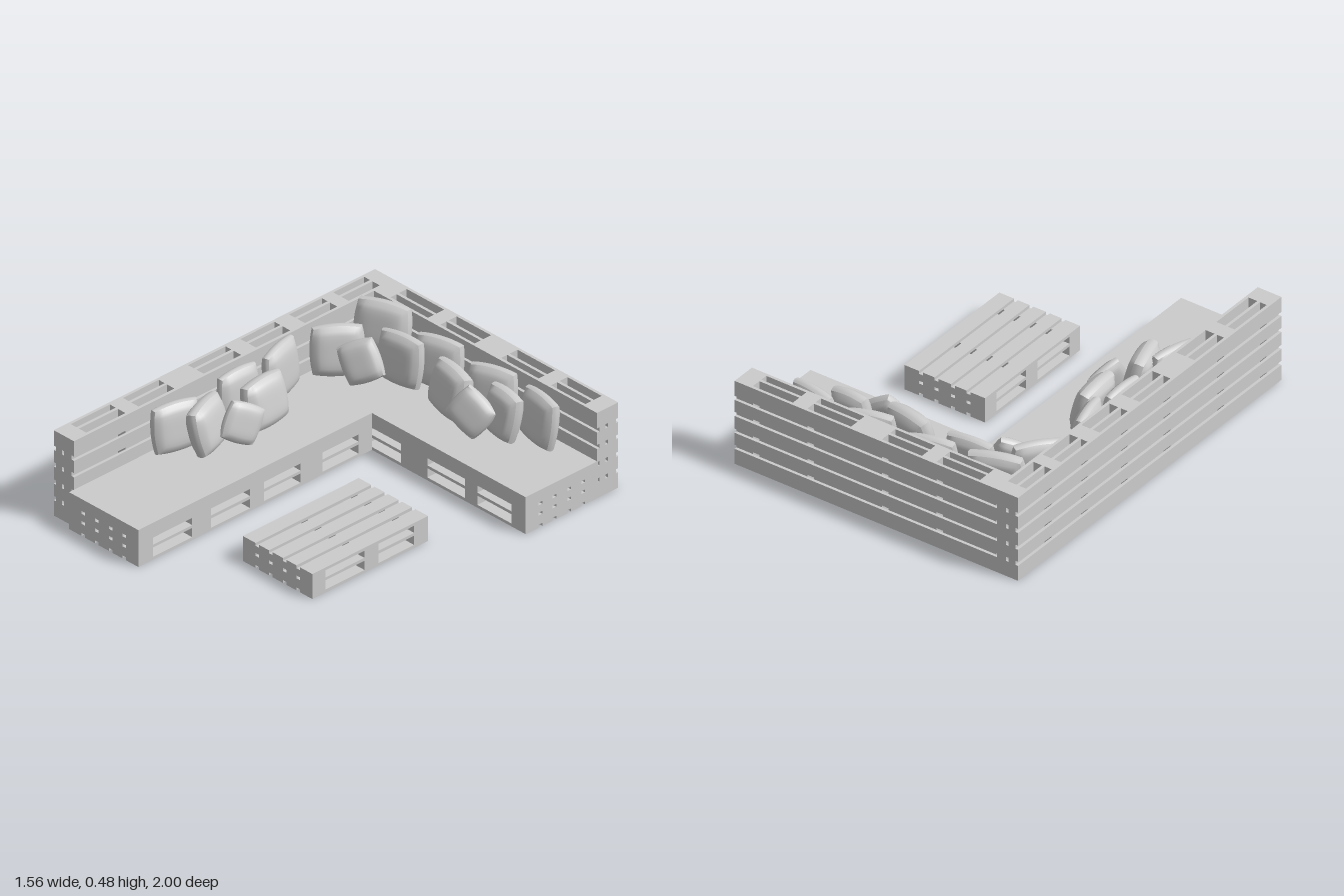
import * as THREE from 'three';

const material = new THREE.MeshStandardMaterial({ color: 0xcccccc });
const DEPTH = 0.444, HEIGHT = 0.13;
const SLATS = [[0, 0.08], [0.102, 0.166], [0.188, 0.256], [0.278, 0.342], [0.364, 0.444]];
const DECKS = [[0, 0.015], [0.063, 0.078], [0.115, 0.13]];

function box(parent, name, [x0, x1], [y0, y1], [z0, z1]) {
  const mesh = new THREE.Mesh(new THREE.BoxGeometry(x1 - x0, y1 - y0, z1 - z0), material);
  mesh.name = name;
  mesh.position.set((x0 + x1) / 2, (y0 + y1) / 2, (z0 + z1) / 2);
  parent.add(mesh);
}

// Row of pallets along local x: three slatted decks with cross blocks between the openings
function palletRow(name, from, to, openings) {
  const g = new THREE.Group();
  g.name = name;
  g.rotation.order = 'YXZ';
  const across = ([a, b]) => [a - DEPTH / 2, b - DEPTH / 2];
  const up = ([a, b]) => [a - HEIGHT / 2, b - HEIGHT / 2];
  for (const deck of DECKS)
    for (const slat of SLATS) box(g, 'slat', [from, to], up(deck), across(slat));
  const edges = [from, ...openings.flat(), to];
  for (let i = 0; i < edges.length; i += 2)
    for (let k = 0; k < 2; k++)
      box(g, 'crossBlock', [edges[i], edges[i + 1]], up([DECKS[k][1], DECKS[k + 1][0]]), across([0, DEPTH]));
  return g;
}

// Puffed square pillow: thick in the middle, thinner at the rim, gently bowed sides
function pillowGeometry(w, h, t) {
  const geo = new THREE.BoxGeometry(2, 2, 2, 12, 12, 4);
  const p = geo.attributes.position;
  for (let i = 0; i < p.count; i++) {
    const u = p.getX(i), v = p.getY(i), s = p.getZ(i);
    const puff = 0.42 + 0.58 * Math.pow((1 - u ** 4) * (1 - v ** 4), 0.6);
    const rim = 1 - 0.05 * s * s;
    p.setXYZ(i,
      u * (1 - 0.1 * v * v) * rim * w / 2,
      v * (1 - 0.1 * u * u) * rim * h / 2,
      s * puff * t / 2);
  }
  geo.computeVertexNormals();
  return geo;
}

// x, y, z, width, height, thickness, turn, lean, roll (degrees)
const PILLOWS = [
  [-0.51, 0.355, -0.79, 0.28, 0.25, 0.10, 20, -14, 0],
  [-0.17, 0.312, -0.81, 0.25, 0.25, 0.09, 15, -10, 0],
  [-0.31, 0.310, -0.71, 0.25, 0.25, 0.09, 6, -8, 1],
  [0.17, 0.312, -0.81, 0.25, 0.25, 0.09, 18, -10, 0],
  [0.48, 0.312, -0.805, 0.25, 0.25, 0.09, -10, -8, 0],
  [0.03, 0.307, -0.69, 0.26, 0.24, 0.11, -12, -14, -1],
  [0.33, 0.307, -0.725, 0.21, 0.24, 0.10, -5, -10, -4],
  [0.22, 0.300, -0.635, 0.20, 0.19, 0.08, 22, -18, -35],
  [-0.56, 0.310, -0.56, 0.25, 0.25, 0.09, 52, -10, 0],
  [-0.43, 0.298, -0.58, 0.19, 0.20, 0.08, 30, -16, 25],
  [-0.60, 0.322, -0.25, 0.25, 0.26, 0.085, 105, -6, 2],
  [-0.60, 0.310, 0.01, 0.24, 0.25, 0.08, 90, -6, 0],
  [-0.475, 0.307, -0.03, 0.26, 0.24, 0.11, 95, -14, 0],
  [-0.42, 0.298, 0.16, 0.19, 0.19, 0.07, 74, -12, -28],
  [-0.505, 0.307, 0.29, 0.25, 0.24, 0.11, 108, -14, 2],
  [-0.595, 0.307, 0.40, 0.25, 0.24, 0.085, 77, -8, 0],
];

export function createModel() {
  const model = new THREE.Group();
  const quarter = Math.PI / 2;
  const place = (row, x, y, z, turn, tilt) => {
    row.position.set(x, y, z);
    row.rotation.set(tilt, turn, 0);
    model.add(row);
  };

  // Seat bases
  const backOpenings = [[-0.56, -0.32], [-0.24, -0.02], [0.15, 0.39], [0.47, 0.69]];
  const sideOpenings = [[-0.35, -0.13], [0.005, 0.23], [0.315, 0.555], [0.67, 0.91]];
  place(palletRow('backSeatBase', -0.648, 0.78, backOpenings), 0, HEIGHT / 2, -0.654, 0, 0);
  place(palletRow('sideSeatBase', -0.432, 1, sideOpenings), -0.428, HEIGHT / 2, 0, -quarter, 0);

  // Upright backrests
  const uprightOpenings = [[-0.92, -0.73], [-0.66, -0.46], [-0.37, -0.16], [-0.07, 0.16], [0.34, 0.56], [0.64, 0.88]];
  place(palletRow('backRest', -0.65, 0.78, backOpenings), 0, DEPTH / 2, -0.935, 0, quarter);
  place(palletRow('sideRest', -1, 0.97, uprightOpenings), -0.715, DEPTH / 2, 0, -quarter, quarter);

  // Low table
  place(palletRow('table', -0.08, 0.63, [[0.005, 0.225], [0.31, 0.55]]), 0.3, HEIGHT / 2, 0, -quarter, 0);

  // Seat cushions
  box(model, 'backSeatCushion', [-0.65, 0.78], [0.13, 0.192], [-0.876, -0.432]);
  box(model, 'sideSeatCushion', [-0.65, -0.206], [0.13, 0.192], [-0.432, 1]);

  // Loose pillows
  const rad = THREE.MathUtils.degToRad;
  for (const [x, y, z, w, h, t, turn, lean, roll] of PILLOWS) {
    const pillow = new THREE.Mesh(pillowGeometry(w, h, t), material);
    pillow.name = 'pillow';
    pillow.position.set(x, y, z);
    pillow.rotation.set(rad(lean), rad(turn), rad(roll), 'YXZ');
    model.add(pillow);
  }
  return model;
}
